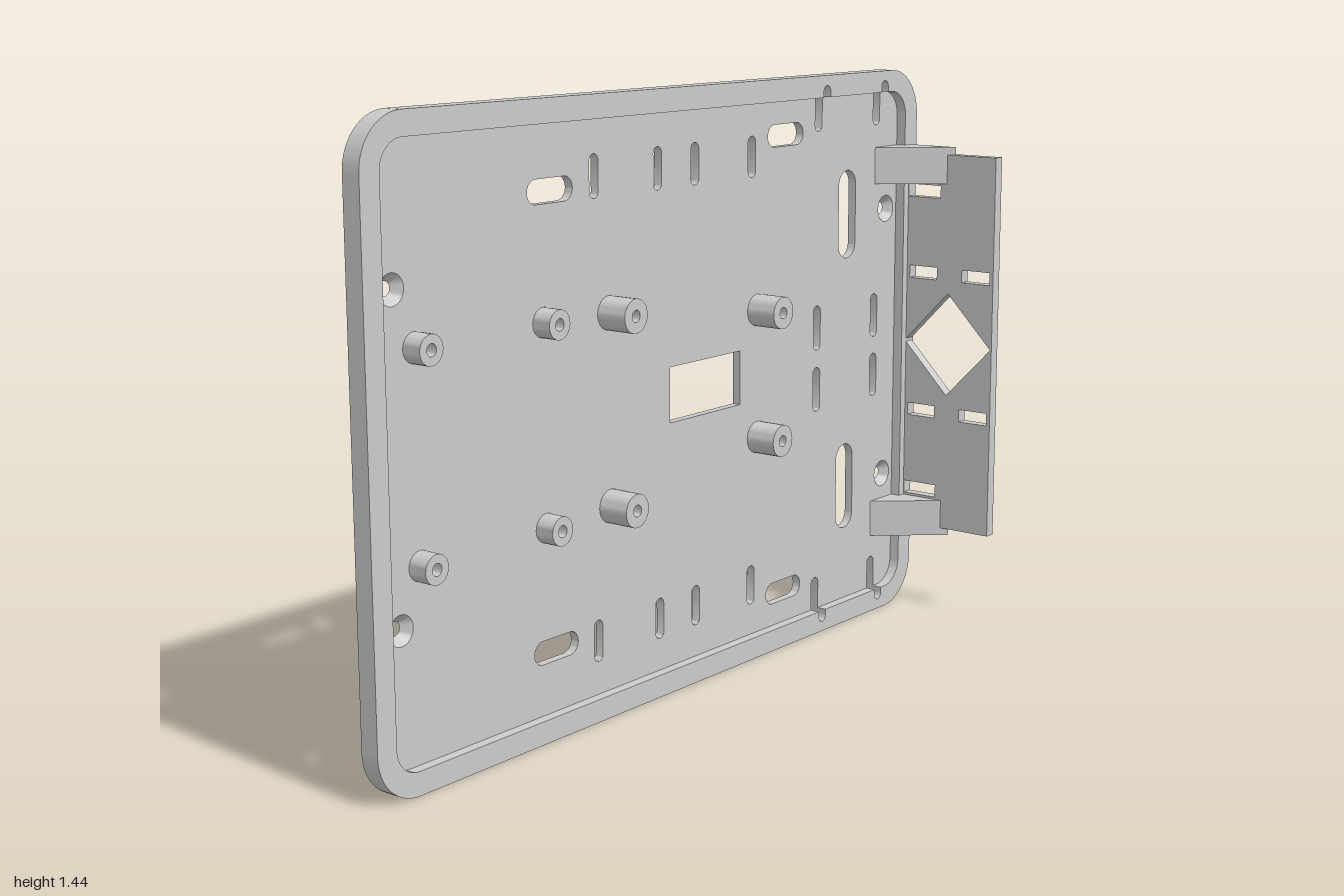
import * as THREE from 'three';
import { toCreasedNormals } from 'three/addons/utils/BufferGeometryUtils.js';

const BACK = -0.157, FLOOR = -0.135, RIM = -0.109, TIP = 0.157;
const H = 1.444, MID = H / 2;
const material = new THREE.MeshStandardMaterial({ color: 0xcccccc });

const extrude = (shape, depth) =>
  toCreasedNormals(new THREE.ExtrudeGeometry(shape, { depth, bevelEnabled: false, curveSegments: 12 }), 0.6);

function add(group, name, geometry, x = 0, y = 0, z = 0) {
  const mesh = new THREE.Mesh(geometry, material);
  mesh.name = name;
  mesh.position.set(x, y, z);
  group.add(mesh);
  return mesh;
}

// Rounded rectangle outline; a full radius gives a slot, notches lists x of slots that bite its long edges
function roundRect(Type, cx, cy, w, h, r, notches = [], notchR = 0, notchDepth = 0) {
  const p = new Type();
  const x0 = cx - w / 2, x1 = cx + w / 2, y0 = cy - h / 2, y1 = cy + h / 2;
  const straight = notchDepth - notchR;
  p.moveTo(x0 + r, y0);
  for (const n of notches) {
    p.lineTo(n - notchR, y0);
    p.lineTo(n - notchR, y0 - straight);
    p.absarc(n, y0 - straight, notchR, Math.PI, 2 * Math.PI, false);
    p.lineTo(n + notchR, y0);
  }
  p.lineTo(x1 - r, y0);
  if (r) p.absarc(x1 - r, y0 + r, r, -Math.PI / 2, 0, false);
  p.lineTo(x1, y1 - r);
  if (r) p.absarc(x1 - r, y1 - r, r, 0, Math.PI / 2, false);
  for (const n of [...notches].reverse()) {
    p.lineTo(n + notchR, y1);
    p.lineTo(n + notchR, y1 + straight);
    p.absarc(n, y1 + straight, notchR, 0, Math.PI, false);
    p.lineTo(n - notchR, y1);
  }
  p.lineTo(x0 + r, y1);
  if (r) p.absarc(x0 + r, y1 - r, r, Math.PI / 2, Math.PI, false);
  p.lineTo(x0, y0 + r);
  if (r) p.absarc(x0 + r, y0 + r, r, Math.PI, 1.5 * Math.PI, false);
  return p;
}

function circle(Type, x, y, r) {
  const p = new Type();
  p.absarc(x, y, r, 0, 2 * Math.PI, false);
  return p;
}

export function createModel() {
  const model = new THREE.Group();
  model.name = 'mountingPlate';

  // Slots as [x, offset from mid height, width, height], mirrored top and bottom
  const slots = [
    [-0.418, 0.519, 0.147, 0.055], [0.448, 0.582, 0.147, 0.055],
    [0.718, 0.36, 0.075, 0.227],
    ...[-0.273, -0.05, 0.088, 0.31].map(x => [x, 0.538, 0.03, 0.1]),
    ...[0.588, 0.847].flatMap(x => [[x, 0.639, 0.03, 0.115], [x, 0.08, 0.03, 0.115]]),
  ];
  // Standoffs as [x, offset, radius, front z]
  const standoffs = [
    [-0.837, 0.232, 0.034, -0.086], [-0.446, 0.232, 0.034, -0.086],
    [-0.225, 0.225, 0.04, -0.055], [0.334, 0.16, 0.04, -0.055],
  ];
  const screwX = [-0.898, 0.896], screwOffset = 0.359, boreR = 0.014;

  // Base plate with all cut-outs
  const plate = roundRect(THREE.Shape, 0, MID, 2, H, 0.12);
  plate.holes.push(roundRect(THREE.Path, 0.128, MID, 0.273, 0.134, 0));
  for (const s of [-1, 1]) {
    for (const [x, d, w, h] of slots)
      plate.holes.push(roundRect(THREE.Path, x, MID + s * d, w, h, Math.min(w, h) / 2));
    for (const [x, d] of standoffs) plate.holes.push(circle(THREE.Path, x, MID + s * d, boreR));
    for (const x of screwX) plate.holes.push(circle(THREE.Path, x, MID + s * screwOffset, 0.035));
  }
  add(model, 'basePlate', extrude(plate, FLOOR - BACK), 0, 0, BACK);

  // Raised rim, notched where the end slots run into it
  const innerH = 1.334;
  const rim = roundRect(THREE.Shape, 0, MID, 2, H, 0.12);
  rim.holes.push(roundRect(THREE.Path, 0, MID, 1.89, innerH, 0.065,
    [0.588, 0.847], 0.015, 0.639 + 0.0575 - innerH / 2));
  add(model, 'rim', extrude(rim, RIM - FLOOR), 0, 0, FLOOR);

  // Countersunk screw hole seat
  const t = FLOOR - BACK;
  const seat = toCreasedNormals(new THREE.LatheGeometry(
    [[0.016, 0], [0.035, 0], [0.035, t], [0.016, 0]].map(p => new THREE.Vector2(...p)), 24), 0.6);
  seat.rotateX(Math.PI / 2);

  for (const s of [-1, 1]) {
    for (const [x, d, r, front] of standoffs) {
      const ring = circle(THREE.Shape, 0, 0, r);
      ring.holes.push(circle(THREE.Path, 0, 0, boreR));
      add(model, 'standoff', extrude(ring, front - FLOOR), x, MID + s * d, FLOOR);
    }
    for (const x of screwX) add(model, 'countersink', seat, x, MID + s * screwOffset, BACK);
  }

  // Side flange: drawn in (z, y), then turned to face +x
  const flange = roundRect(THREE.Shape, (TIP - 0.122) / 2, MID, TIP + 0.122, 1.006, 0);
  const diamond = new THREE.Path();
  diamond.setFromPoints([[0.153, 0], [0.02, 0.137], [-0.113, 0], [0.02, -0.137]]
    .map(([z, y]) => new THREE.Vector2(z, MID + y)));
  diamond.closePath();
  flange.holes.push(diamond);
  for (const s of [-1, 1])
    for (const [z, d, w] of [[-0.058, 0.404, 0.099], [0.104, 0.187, 0.085], [-0.058, 0.187, 0.085]])
      flange.holes.push(roundRect(THREE.Path, z, MID + s * d, w, 0.033, 0));
  const flangeGeometry = extrude(flange, 0.03);
  flangeGeometry.rotateY(-Math.PI / 2);
  add(model, 'sideFlange', flangeGeometry, 0.996);

  // Triangular gussets at both ends of the flange
  const wedge = new THREE.Shape([[0.844, 0.135], [0.98, -0.027], [0.98, 0.135]]
    .reverse().map(p => new THREE.Vector2(...p)));
  const gusset = extrude(wedge, 0.096);
  gusset.rotateX(-Math.PI / 2);
  for (const s of [-1, 1]) add(model, 'gusset', gusset, 0, MID + s * 0.475 - 0.048, 0);

  return model;
}
